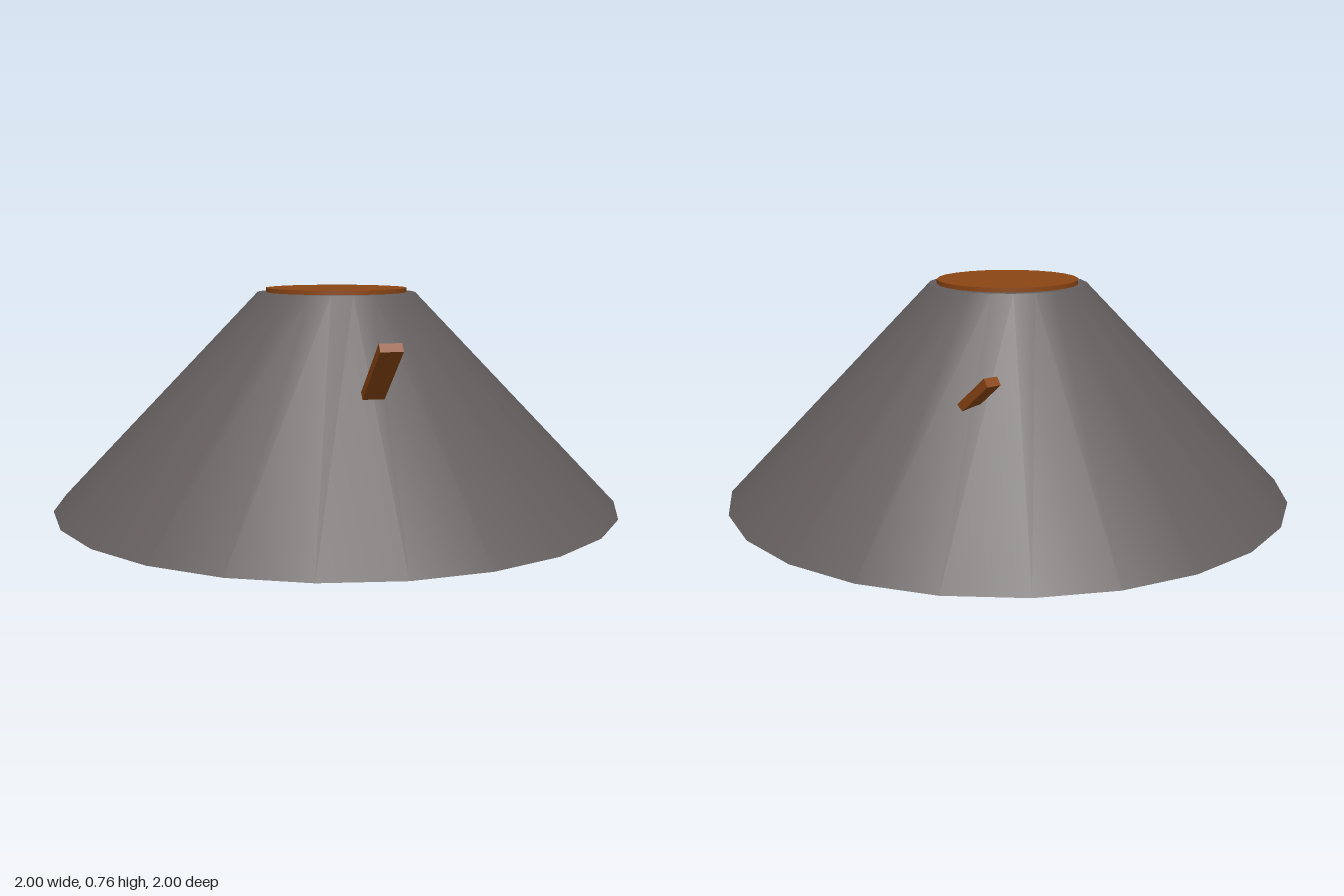
import * as THREE from 'three';

const stone = new THREE.MeshStandardMaterial({ color: 0x625d5c });
const wood = new THREE.MeshStandardMaterial({ color: 0x8b4513 });

function addMesh(parent, name, geometry, material, x, y, z) {
  const mesh = new THREE.Mesh(geometry, material);
  mesh.name = name;
  mesh.position.set(x, y, z);
  parent.add(mesh);
  return mesh;
}

// Board whose outer end is centred on `tip`, leaning out of the slope
function addPlank(parent, name, tip, yaw, pitch, width, length) {
  const geometry = new THREE.BoxGeometry(width, 0.03, length);
  geometry.translate(0, 0, -length / 2);
  const plank = addMesh(parent, name, geometry, wood, ...tip);
  plank.rotation.set(-pitch, yaw, 0, 'YXZ');
}

export function createModel() {
  const model = new THREE.Group();
  model.name = 'mound';

  // Truncated cone body with a closed base
  addMesh(model, 'moundBody', new THREE.CylinderGeometry(0.28, 1, 0.75, 24), stone, 0, 0.375, 0);

  // Thin disc lying on the summit
  addMesh(model, 'summitDisc', new THREE.CylinderGeometry(0.25, 0.25, 0.03, 24), wood, 0, 0.75, 0);

  // Planks sticking out of the front and back slopes
  const pitch = THREE.MathUtils.degToRad(37.5);
  addPlank(model, 'frontPlank', [0, 0.625, 0.782], 0, pitch, 0.07, 0.36);
  addPlank(model, 'backPlank', [0.254, 0.538, -0.6], Math.PI + 0.33, pitch, 0.05, 0.25);

  return model;
}
